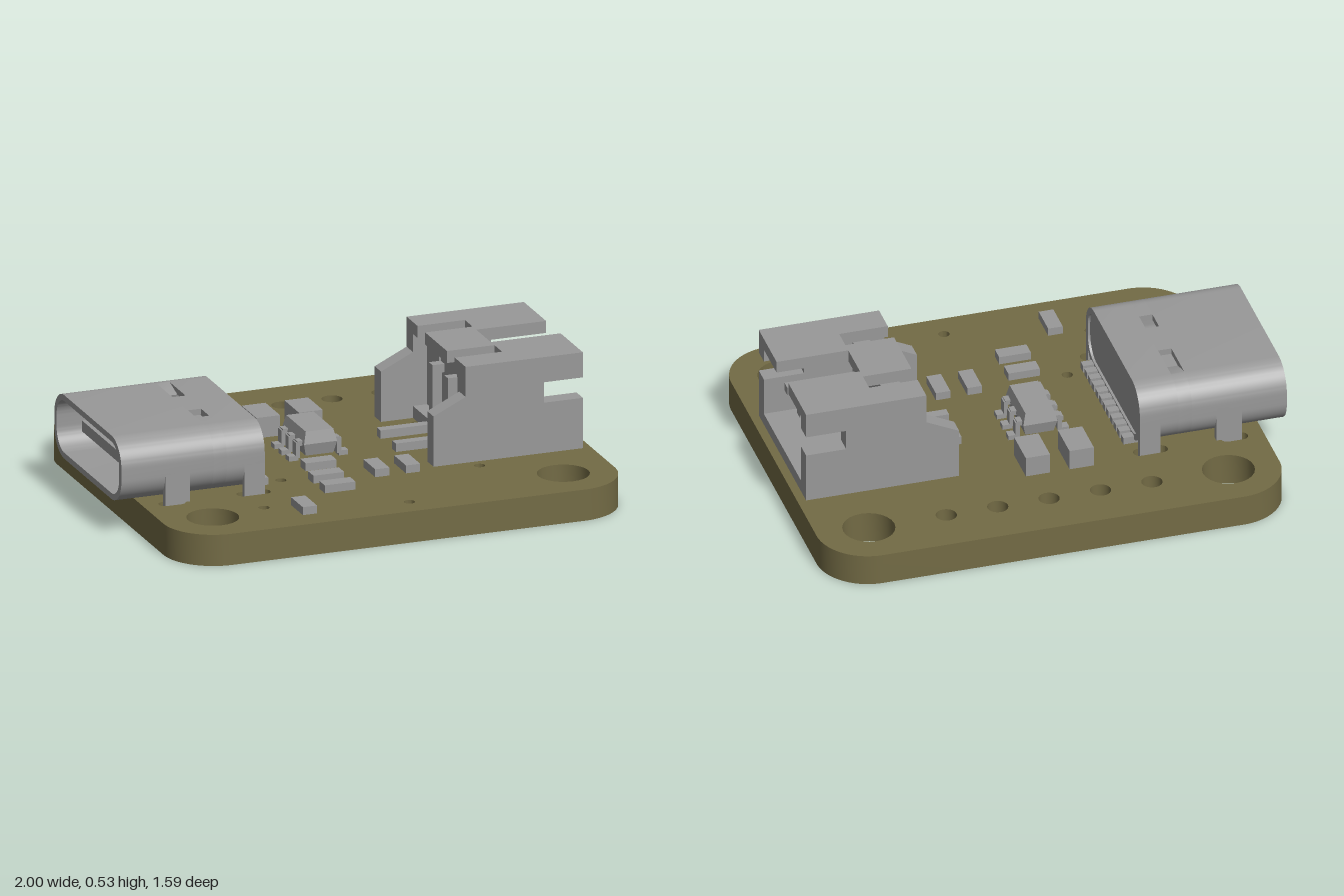
import * as THREE from 'three';
import { toCreasedNormals } from 'three/addons/utils/BufferGeometryUtils.js';

const mat = (name, color) => {
  const m = new THREE.MeshStandardMaterial({ color });
  m.name = name;
  return m;
};

export function createModel() {
  const boardOlive = mat('board olive', 0x736b45);
  const partGrey = mat('part grey', 0x999999);
  const model = new THREE.Group();
  const T = 0.13; // board thickness

  const group = (name) => {
    const g = new THREE.Group();
    g.name = name;
    model.add(g);
    return g;
  };
  const add = (parent, name, geo, material = partGrey) => {
    const m = new THREE.Mesh(geo, material);
    m.name = name;
    parent.add(m);
    return m;
  };
  // Box given by its lower and upper limits on each axis
  const box = (parent, name, x0, x1, y0, y1, z0, z1) =>
    add(parent, name, new THREE.BoxGeometry(x1 - x0, y1 - y0, z1 - z0))
      .position.set((x0 + x1) / 2, (y0 + y1) / 2, (z0 + z1) / 2);
  const roundRect = (path, x0, x1, y0, y1, r) => {
    path.absarc(x1 - r, y0 + r, r, -Math.PI / 2, 0);
    path.absarc(x1 - r, y1 - r, r, 0, Math.PI / 2);
    path.absarc(x0 + r, y1 - r, r, Math.PI / 2, Math.PI);
    path.absarc(x0 + r, y0 + r, r, Math.PI, Math.PI * 1.5);
    path.closePath();
    return path;
  };
  const extrude = (shape, depth, curveSegments = 10) =>
    new THREE.ExtrudeGeometry(shape, { depth, bevelEnabled: false, curveSegments });

  // Circuit board with mounting, header, via and slot holes
  const board = roundRect(new THREE.Shape(), -0.905, 1, -0.795, 0.795, 0.21);
  const hole = (x, z, r) => {
    const p = new THREE.Path();
    p.absarc(x, -z, r, 0, Math.PI * 2, true);
    board.holes.push(p);
  };
  for (const z of [-0.585, 0.58]) for (const x of [-0.695, 0.785]) hole(x, z, 0.105);
  for (let i = 0; i < 5; i++) hole(-0.38 + i * 0.2115, -0.585, 0.042);
  const vias = [[-0.285, 0.26], [-0.465, 0.545], [0.095, 0.685], [0.51, 0.375], [0.465, -0.195],
    [-0.06, -0.055], [-0.47, 0.23], [-0.53, 0.057], [-0.525, -0.04], [-0.775, -0.017]];
  vias.forEach(([x, z]) => hole(x, z, 0.022));
  for (const s of [-1, 1]) for (const [x0, x1] of [[-0.84, -0.73], [-0.51, -0.37]])
    board.holes.push(roundRect(new THREE.Path(), x0, x1, s * 0.365 - 0.026, s * 0.365 + 0.026, 0.025));
  const boardGeo = extrude(board, T, 12);
  boardGeo.rotateX(-Math.PI / 2);
  add(model, 'circuitBoard', toCreasedNormals(boardGeo, 0.6), boardOlive);

  // Charging socket: hollow rounded shell, open towards -x
  const socket = group('chargingSocket');
  const W = 0.37, Y0 = 0.14, Y1 = 0.405, R = 0.11, t = 0.025;
  const along = (name, shape, x0, x1) => {
    const g = extrude(shape, x1 - x0);
    g.rotateY(Math.PI / 2);
    add(socket, name, toCreasedNormals(g, 0.6)).position.x = x0;
  };
  const ring = roundRect(new THREE.Shape(), -W, W, Y0, Y1, R);
  ring.holes.push(roundRect(new THREE.Path(), -W + t, W - t, Y0 + t, Y1 - t, R - t));
  along('shellFront', ring, -1, -0.61);
  along('shellRear', ring, -0.555, -0.395);
  // Shell section interrupted by the two latch windows
  const cut = new THREE.Shape();
  const arcs = [[W - R, Y1 - R, 0.5], [W - R, Y0 + R, 0], [-W + R, Y0 + R, -0.5], [-W + R, Y1 - R, -1]];
  cut.moveTo(0.175, Y1);
  arcs.forEach(([u, v, a]) => cut.absarc(u, v, R, a * Math.PI, (a - 0.5) * Math.PI, true));
  cut.lineTo(-0.175, Y1);
  cut.lineTo(-0.175, Y1 - t);
  [...arcs].reverse().forEach(([u, v, a]) =>
    cut.absarc(u, v, R - t, (a - 0.5) * Math.PI, a * Math.PI, false));
  cut.lineTo(0.175, Y1 - t);
  cut.closePath();
  along('shellMiddle', cut, -0.61, -0.555);
  box(socket, 'windowBridge', -0.61, -0.555, Y1 - t, Y1, -0.085, 0.085);
  along('socketBack', roundRect(new THREE.Shape(), -W + t, W - t, Y0 + t, Y1 - t, R - t), -0.47, -0.405);
  box(socket, 'tongue', -0.93, -0.46, 0.25, 0.295, -0.25, 0.25);
  for (const s of [-1, 1]) for (const [x0, x1] of [[-0.815, -0.71], [-0.48, -0.395]]) {
    const z = s * (W - t / 2);
    box(socket, 'shellLeg', x0, x1, 0.06, 0.28, z - t / 2, z + t / 2);
  }
  for (let i = 0; i < 12; i++) {
    const z = -0.275 + i * 0.05;
    box(socket, 'contact', -0.42, -0.35, T, 0.16, z - 0.017, z + 0.017);
  }

  // Battery connector: side walls cut from one profile, open towards +x
  const conn = group('batteryConnector');
  const wall = new THREE.Shape([[0.335, T], [0.965, T], [0.965, 0.34], [0.8, 0.34], [0.8, 0.425],
    [0.965, 0.425], [0.965, 0.53], [0.47, 0.53], [0.47, 0.405], [0.335, 0.34]]
    .map(([x, y]) => new THREE.Vector2(x, y)));
  for (const s of [-1, 1]) {
    add(conn, 'sideWall', extrude(wall, 0.07)).position.z = s > 0 ? 0.255 : -0.325;
    const strip = (name, x0, x1, y0, y1, a, b) =>
      box(conn, name, x0, x1, y0, y1, Math.min(s * a, s * b), Math.max(s * a, s * b));
    strip('topRail', 0.67, 0.965, 0.48, 0.53, 0.08, 0.255);
    strip('topCorner', 0.47, 0.67, 0.48, 0.53, 0.205, 0.255);
    strip('rearRib', 0.52, 0.6, 0.18, 0.48, 0.1, 0.13);
    // Bent contact pin
    strip('pinFoot', 0.26, 0.52, T, 0.165, 0.065, 0.105);
    strip('pinRiser', 0.48, 0.52, 0.165, 0.41, 0.065, 0.105);
    strip('pinTip', 0.52, 0.925, 0.375, 0.41, 0.065, 0.105);
  }
  box(conn, 'topBridge', 0.47, 0.67, 0.48, 0.53, -0.12, 0.12);
  box(conn, 'floor', 0.47, 0.965, T, 0.18, -0.255, 0.255);
  box(conn, 'rearWall', 0.53, 0.6, 0.18, 0.45, -0.255, 0.255);
  box(conn, 'rearWallCentre', 0.53, 0.6, 0.45, 0.48, -0.12, 0.12);

  // Regulator chip with tapered body and stepped leads
  const chip = group('regulatorChip');
  const body = new THREE.BoxGeometry(0.14, 0.1, 0.24, 1, 2, 1);
  const p = body.attributes.position;
  for (let i = 0; i < p.count; i++) {
    const k = Math.abs(p.getY(i)) > 0.01 ? 0.012 : 0;
    p.setX(i, p.getX(i) - Math.sign(p.getX(i)) * k);
    p.setZ(i, p.getZ(i) - Math.sign(p.getZ(i)) * k);
  }
  body.computeVertexNormals();
  add(chip, 'chipBody', toCreasedNormals(body, 0.2)).position.set(-0.05, 0.2, -0.035);
  for (const z of [-0.115, -0.035, 0.045]) for (const s of [-1, 1]) {
    const lead = (name, a, b, y0, y1) => box(chip, name, -0.05 + Math.min(s * a, s * b),
      -0.05 + Math.max(s * a, s * b), y0, y1, z - 0.018, z + 0.018);
    lead('leadFoot', 0.085, 0.125, T, 0.15);
    lead('leadRiser', 0.078, 0.096, 0.14, 0.205);
    lead('leadTop', 0.05, 0.09, 0.19, 0.21);
  }

  // Small surface parts: x, z, width, depth, height
  const small = group('smallParts');
  const parts = [[-0.145, -0.325, 0.1, 0.16, 0.085], [0.035, -0.325, 0.1, 0.16, 0.085],
    [-0.09, 0.165, 0.13, 0.06, 0.033], [-0.115, 0.315, 0.13, 0.06, 0.033],
    [-0.115, 0.44, 0.13, 0.06, 0.033], [-0.325, 0.62, 0.06, 0.13, 0.033],
    [0.105, 0.295, 0.06, 0.13, 0.033], [0.235, 0.295, 0.06, 0.13, 0.033]];
  for (const [x, z, w, d, h] of parts)
    box(small, h > 0.05 ? 'capacitor' : 'resistor', x - w / 2, x + w / 2, T, T + h, z - d / 2, z + d / 2);

  return model;
}
